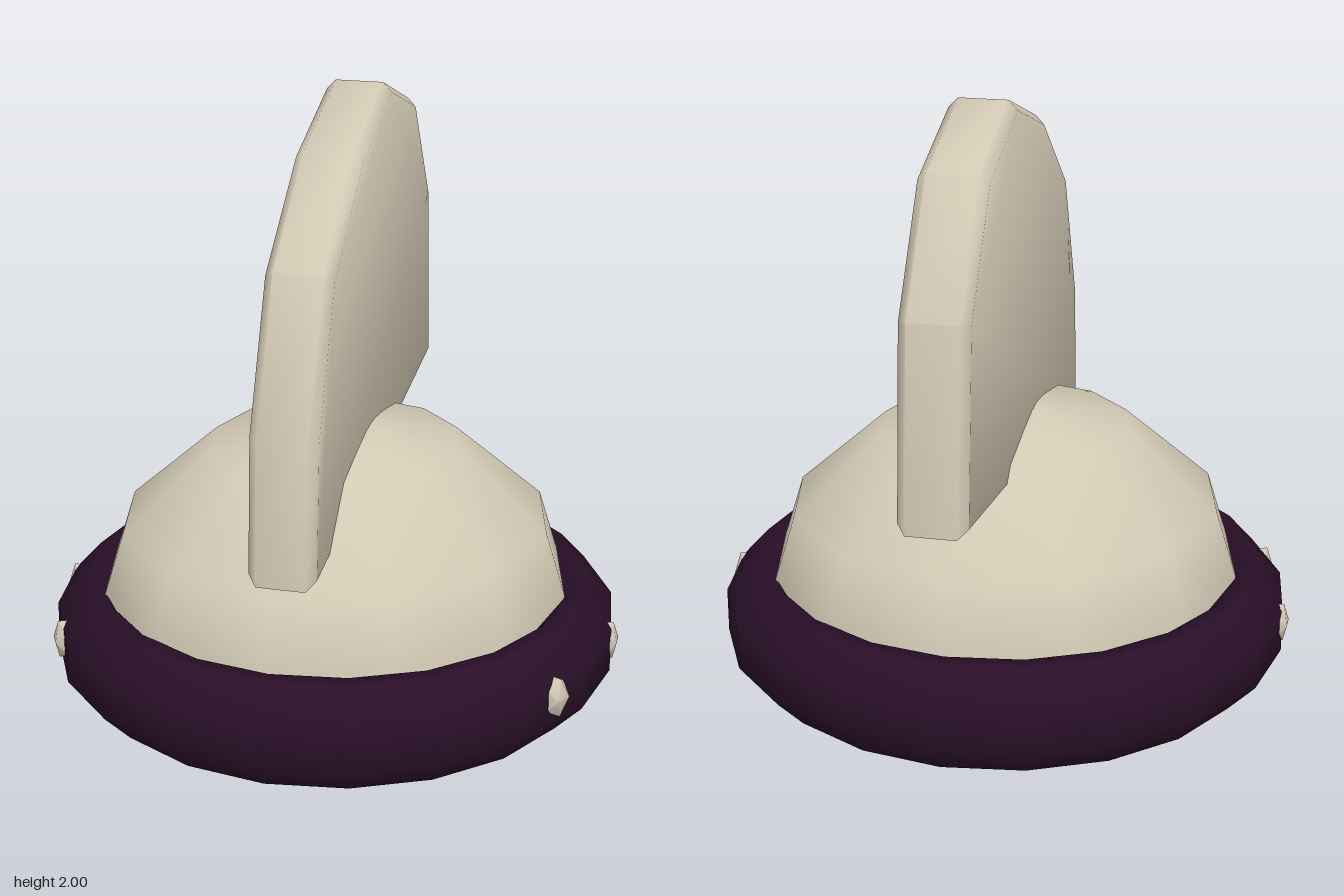
import * as THREE from 'three';
import { toCreasedNormals } from 'three/addons/utils/BufferGeometryUtils.js';

const cream = new THREE.MeshStandardMaterial({ color: 0xd2c9b4, side: THREE.DoubleSide });
cream.name = 'cream';
const plum = new THREE.MeshStandardMaterial({ color: 0x290f28 });
plum.name = 'darkPlum';

const points = (list) => list.map(([x, y]) => new THREE.Vector2(x, y));

export function createModel() {
  const model = new THREE.Group();
  model.name = 'crestedHelmet';
  const add = (name, geometry, material, parent = model) => {
    const mesh = new THREE.Mesh(geometry, material);
    mesh.name = name;
    parent.add(mesh);
    return mesh;
  };

  // Thick rim with chamfered edges, twenty sides
  const rimProfile = points([
    [0.71, 0.1], [0.8, 0], [0.86, 0], [0.955, 0.1], [0.955, 0.25],
    [0.86, 0.355], [0.8, 0.355], [0.71, 0.25], [0.71, 0.1],
  ]);
  add('rim', new THREE.LatheGeometry(rimProfile, 20, Math.PI / 20 + 0.025), plum);

  // Low open dome, slightly wider than deep
  const domeProfile = points([[0.79, 0.15], [0.765, 0.355], [0.7, 0.57], [0.405, 0.84], [0, 0.93]]);
  const dome = add('dome', new THREE.LatheGeometry(domeProfile, 12), cream);
  dome.scale.x = 1.045;
  dome.rotation.y = 0.07;

  // Tall bevelled crest standing diagonally across the dome
  const crestShape = new THREE.Shape(points([
    [0.75, 0.62], [0.72, 1.1], [0.52, 1.57], [0.14, 1.86],
    [-0.27, 2], [-0.67, 1.86], [-0.92, 1.48], [-0.97, 0.83],
  ]));
  const crestGeometry = new THREE.ExtrudeGeometry(crestShape, {
    depth: 0.16, bevelThickness: 0.03, bevelSize: 0.03, bevelOffset: -0.03, bevelSegments: 1,
  });
  crestGeometry.translate(0, 0, -0.08);
  const crest = add('crest', toCreasedNormals(crestGeometry, 0.9), cream);
  crest.position.x = 0.01;
  crest.rotation.y = -1.996;

  // Small faceted studs, two on each side of the rim
  const studs = new THREE.Group();
  studs.name = 'studs';
  model.add(studs);
  const studGeometry = toCreasedNormals(new THREE.IcosahedronGeometry(0.06, 0), 1);
  for (const degrees of [24, 52, 177, 205]) {
    const angle = THREE.MathUtils.degToRad(degrees);
    const stud = add('stud', studGeometry, cream, studs);
    stud.position.set(0.935 * Math.cos(angle), 0.2, 0.935 * Math.sin(angle));
    stud.rotation.y = -angle;
    stud.scale.set(0.75, 1.3, 0.9);
  }
  return model;
}
